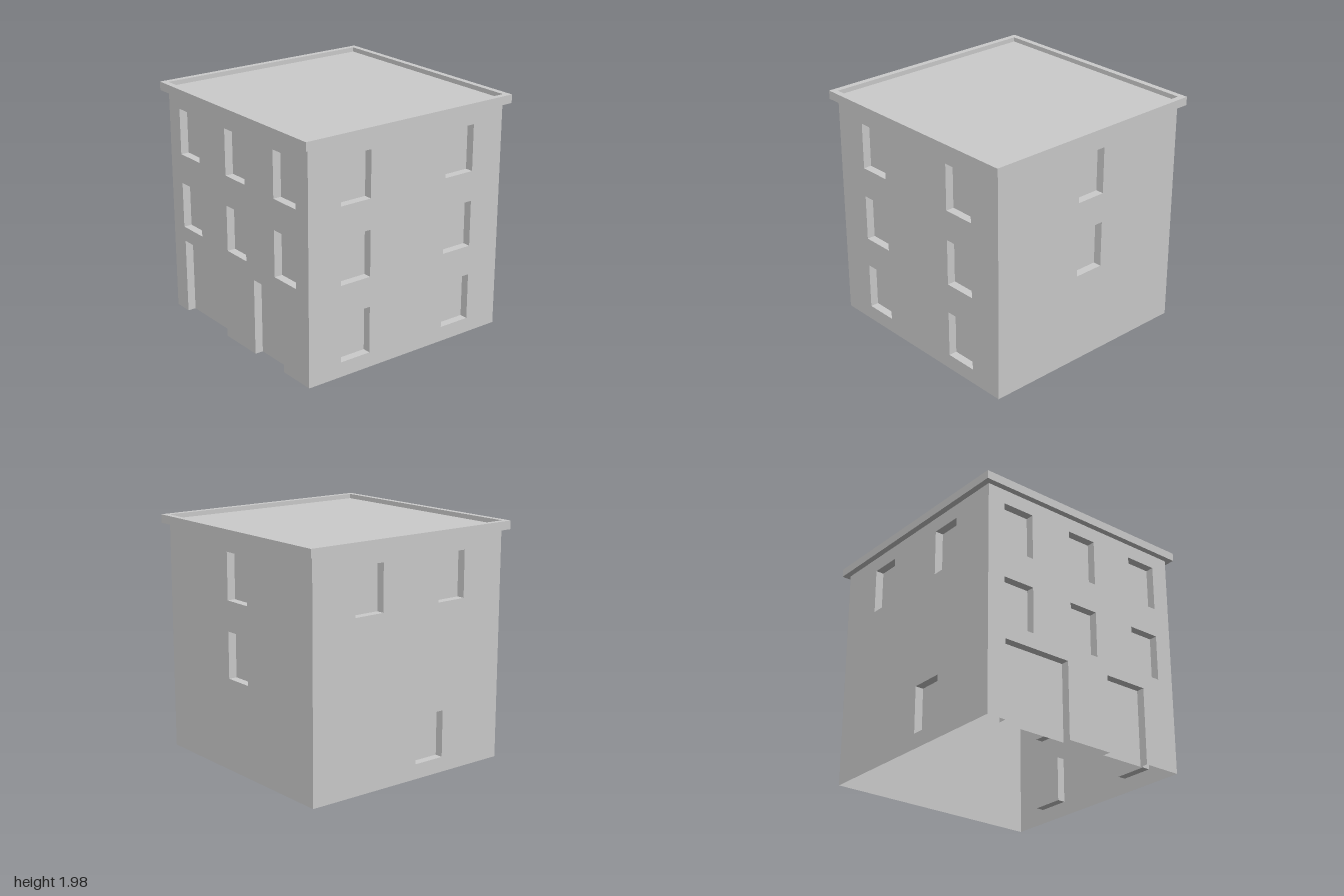
import * as THREE from 'three';
import { mergeGeometries } from 'three/addons/utils/BufferGeometryUtils.js';

const HALF = 0.95;        // half width of the walls
const WALL_TOP = 1.905;
const ROOF_Y = 1.937;
const RIM_TOP = 1.975;
const DEPTH = 0.07;       // how far openings are set back
const ROWS = [[0.125, 0.515], [0.765, 1.15], [1.4, 1.785]];

const plaster = new THREE.MeshStandardMaterial({ color: 0xcccccc, side: THREE.DoubleSide });
plaster.name = 'plaster grey';

function plane(w, h, x, y, z, rx = 0, ry = 0) {
  return new THREE.PlaneGeometry(w, h).rotateX(rx).rotateY(ry).translate(x, y, z);
}

// Set-back panel and reveals of one opening; doors have no sill
function recess([x0, x1, y0, y1]) {
  const w = x1 - x0, h = y1 - y0, cx = (x0 + x1) / 2, cy = (y0 + y1) / 2;
  const z = HALF - DEPTH / 2, q = Math.PI / 2;
  const parts = [
    plane(w, h, cx, cy, HALF - DEPTH),
    plane(DEPTH, h, x0, cy, z, 0, q),
    plane(DEPTH, h, x1, cy, z, 0, -q),
    plane(w, DEPTH, cx, y1, z, q),
  ];
  if (y0 > 0) parts.push(plane(w, DEPTH, cx, y0, z, -q));
  return parts;
}

// One wall skin facing +z, turned into place; doors notch the lower edge
function wall(name, turn, windows, doors = []) {
  const shape = new THREE.Shape();
  shape.moveTo(-HALF, 0);
  for (const [x0, x1, , y1] of doors) {
    shape.lineTo(x0, 0).lineTo(x0, y1).lineTo(x1, y1).lineTo(x1, 0);
  }
  shape.lineTo(HALF, 0).lineTo(HALF, WALL_TOP).lineTo(-HALF, WALL_TOP).closePath();
  for (const [x0, x1, y0, y1] of windows) {
    shape.holes.push(new THREE.Path([
      new THREE.Vector2(x0, y0), new THREE.Vector2(x0, y1),
      new THREE.Vector2(x1, y1), new THREE.Vector2(x1, y0),
    ]));
  }
  const skin = new THREE.ShapeGeometry(shape).translate(0, 0, HALF);
  const openings = [...windows, ...doors].flatMap(recess);
  const mesh = new THREE.Mesh(mergeGeometries([skin, ...openings]), plaster);
  mesh.name = name;
  mesh.rotation.y = turn;
  return mesh;
}

// Windows for the given columns on the given rows
const grid = (columns, rows) => rows.flatMap(r => columns.map(c => [...c, ...ROWS[r]]));

function square(half, Type) {
  return new Type([[-1, -1], [1, -1], [1, 1], [-1, 1]]
    .map(([x, y]) => new THREE.Vector2(x * half, y * half)));
}

export function createModel() {
  const building = new THREE.Group();
  building.name = 'building';

  // Walls
  building.add(
    wall('frontWall', 0,
      grid([[-0.795, -0.515], [-0.135, 0.13], [0.515, 0.795]], [1, 2]),
      [[-0.785, -0.175, 0, 0.64], [0.23, 0.62, 0, 0.64]]),
    wall('leftWall', Math.PI / 2, grid([[-0.65, -0.37], [0.37, 0.65]], [0, 1, 2])),
    wall('backWall', Math.PI, grid([[-0.13, 0.13]], [1, 2])),
    wall('rightWall', -Math.PI / 2,
      [...grid([[-0.55, -0.28], [0.28, 0.55]], [2]), ...grid([[0.07, 0.35]], [0])]),
  );

  // Overhanging parapet around the roof
  const ring = square(1, THREE.Shape);
  ring.holes.push(square(HALF, THREE.Path));
  const rim = new THREE.ExtrudeGeometry(ring, { depth: RIM_TOP - WALL_TOP, bevelEnabled: false });
  const parapet = new THREE.Mesh(rim.rotateX(-Math.PI / 2).translate(0, WALL_TOP, 0), plaster);
  parapet.name = 'parapet';
  building.add(parapet);

  // Sunken flat roof
  const roof = new THREE.Mesh(plane(2 * HALF, 2 * HALF, 0, ROOF_Y, 0, -Math.PI / 2), plaster);
  roof.name = 'roof';
  building.add(roof);

  return building;
}
